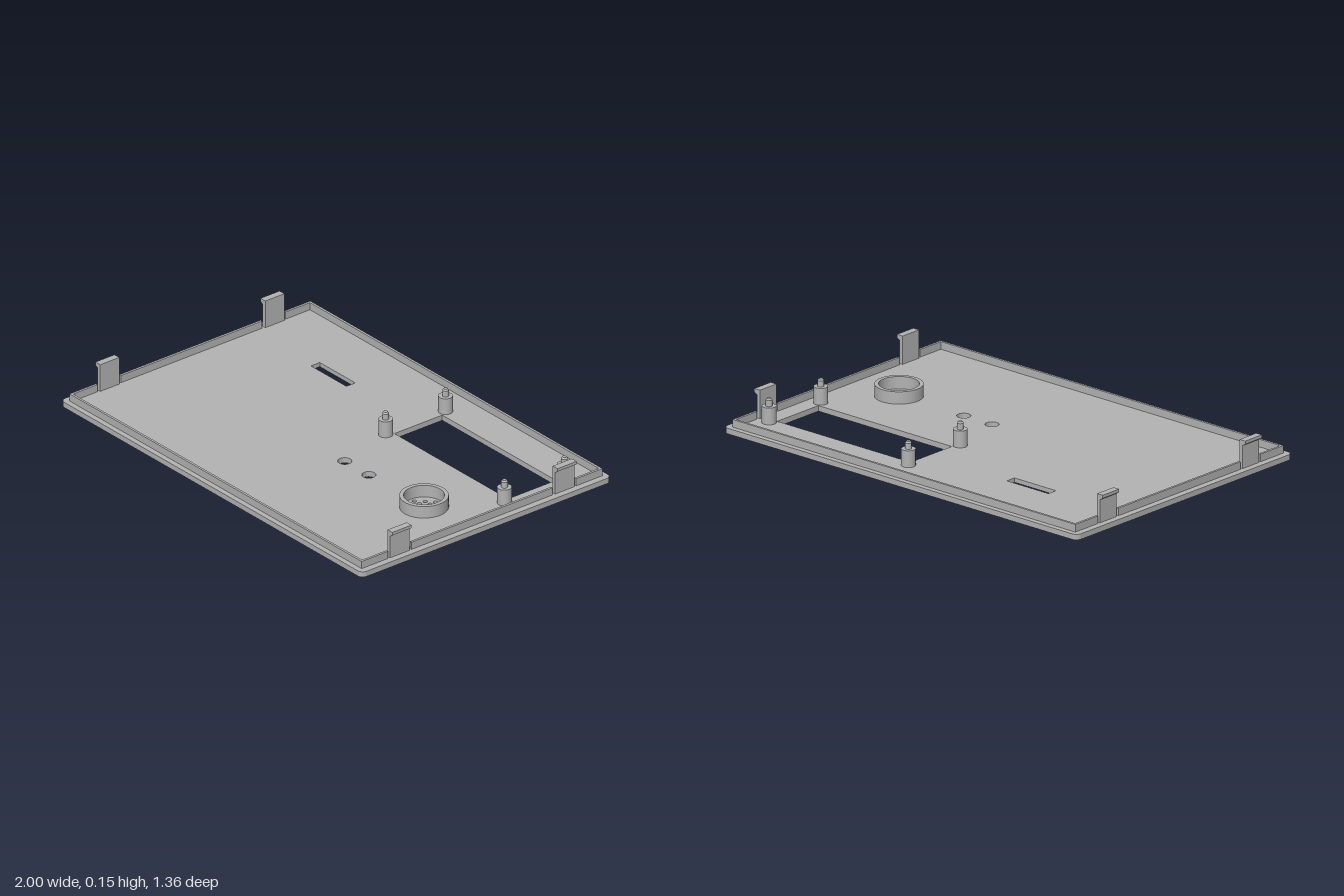
import * as THREE from 'three';

const BASE = 0.025;   // top of the plate
const INSET = 0.005;  // depth of the label recess underneath

// Closed path from [x, z] corners (shape y is -z, so extrusions stand upright)
function poly(points, Type = THREE.Path) {
  const p = new Type();
  points.forEach(([x, z], i) => (i ? p.lineTo(x, -z) : p.moveTo(x, -z)));
  p.closePath();
  return p;
}
const rect = (x0, x1, z0, z1, Type) => poly([[x0, z1], [x1, z1], [x1, z0], [x0, z0]], Type);

function circle(x, z, r) {
  const p = new THREE.Path();
  p.absarc(x, -z, r, 0, Math.PI * 2, true);
  return p;
}

function plateOutline(w, d, r) {
  const s = new THREE.Shape();
  s.absarc(w - r, d - r, r, 0, Math.PI / 2);
  s.absarc(r - w, d - r, r, Math.PI / 2, Math.PI);
  s.absarc(r - w, r - d, r, Math.PI, Math.PI * 1.5);
  s.absarc(w - r, r - d, r, Math.PI * 1.5, Math.PI * 2);
  s.closePath();
  return s;
}

// Raise a plan shape from y0 to y1
function raise(shape, y0, y1, segments = 10) {
  const g = new THREE.ExtrudeGeometry(shape, { depth: y1 - y0, bevelEnabled: false, curveSegments: segments });
  return g.rotateX(-Math.PI / 2).translate(0, y0, 0);
}

export function createModel() {
  const model = new THREE.Group();
  model.name = 'enclosureLid';
  const grey = new THREE.MeshStandardMaterial({ color: 0xb3b3b3 });
  grey.name = 'greyPlastic';

  const add = (name, geometry, parent = model) => {
    const mesh = new THREE.Mesh(geometry, grey);
    mesh.name = name;
    parent.add(mesh);
    return mesh;
  };

  // Openings: display window, two button holes, speaker grille
  const openings = () => {
    const list = [rect(0.123, 0.877, -0.477, -0.217), circle(0.18, 0.1, 0.03), circle(0.34, 0.1, 0.03)];
    for (let i = -2; i <= 2; i++) {
      for (let j = -2; j <= 2; j++) {
        if (Math.abs(i) + Math.abs(j) <= 2) list.push(circle(0.706 + i * 0.032, 0.1 + j * 0.032, 0.01));
      }
    }
    return list;
  };

  // Plate in two layers: the lower one is cut out for the label recess
  const upper = plateOutline(1, 0.68, 0.027);
  upper.holes.push(...openings(), rect(-0.567, -0.332, -0.377, -0.329));
  add('plate', raise(upper, INSET, BASE));
  const lower = plateOutline(1, 0.68, 0.027);
  lower.holes.push(...openings(), rect(-0.83, -0.09, -0.41, 0.41));
  add('plateUnderside', raise(lower, 0, INSET));

  // Locating lip, interrupted at the clips
  const lip = new THREE.Group();
  lip.name = 'lip';
  model.add(lip);
  const lipTop = 0.059, outX = 0.969, outZ = 0.655, t = 0.011;
  for (const s of [-1, 1]) {
    const z0 = s * (outZ - t), z1 = s * outZ;
    add('lipLong', raise(rect(-outX, outX, Math.min(z0, z1), Math.max(z0, z1), THREE.Shape), BASE, lipTop), lip);
    const x0 = Math.min(s * outX, s * (outX - t)), x1 = Math.max(s * outX, s * (outX - t));
    for (const [a, b] of [[-outZ + t, -0.512], [-0.384, 0.384], [0.512, outZ - t]]) {
      add('lipSide', raise(rect(x0, x1, a, b, THREE.Shape), BASE, lipTop), lip);
    }
  }

  // Snap clips with an outward hook
  const clipProfile = new THREE.Shape([
    [0.953, BASE], [0.970, BASE], [0.970, 0.128], [0.985, 0.138], [0.985, 0.152], [0.953, 0.152],
  ].map(([x, y]) => new THREE.Vector2(x, y)));
  const clipGeometry = new THREE.ExtrudeGeometry(clipProfile, { depth: 0.104, bevelEnabled: false });
  clipGeometry.translate(0, 0, -0.052);
  for (const z of [-0.449, 0.449]) {
    add('leftClip', clipGeometry).position.z = z;
    const right = add('rightClip', clipGeometry);
    right.position.z = z;
    right.rotation.y = Math.PI;
  }

  // Display standoffs with locating pins
  const postGeometry = new THREE.CylinderGeometry(0.031, 0.031, 0.1 - BASE, 32);
  const pinGeometry = new THREE.CylinderGeometry(0.014, 0.014, 0.027, 24);
  const tipGeometry = new THREE.CylinderGeometry(0.009, 0.014, 0.007, 24);
  for (const x of [0.105, 0.893]) {
    for (const z of [-0.51, -0.184]) {
      const standoff = new THREE.Group();
      standoff.name = 'standoff';
      standoff.position.set(x, 0, z);
      add('post', postGeometry, standoff).position.y = (BASE + 0.1) / 2;
      add('pin', pinGeometry, standoff).position.y = 0.1135;
      add('pinTip', tipGeometry, standoff).position.y = 0.1305;
      model.add(standoff);
    }
  }

  // Speaker collar
  const collar = new THREE.Shape();
  collar.absarc(0.706, -0.1, 0.104, 0, Math.PI * 2);
  collar.holes.push(circle(0.706, 0.1, 0.086));
  add('speakerCollar', raise(collar, BASE, 0.08, 32));

  return model;
}
